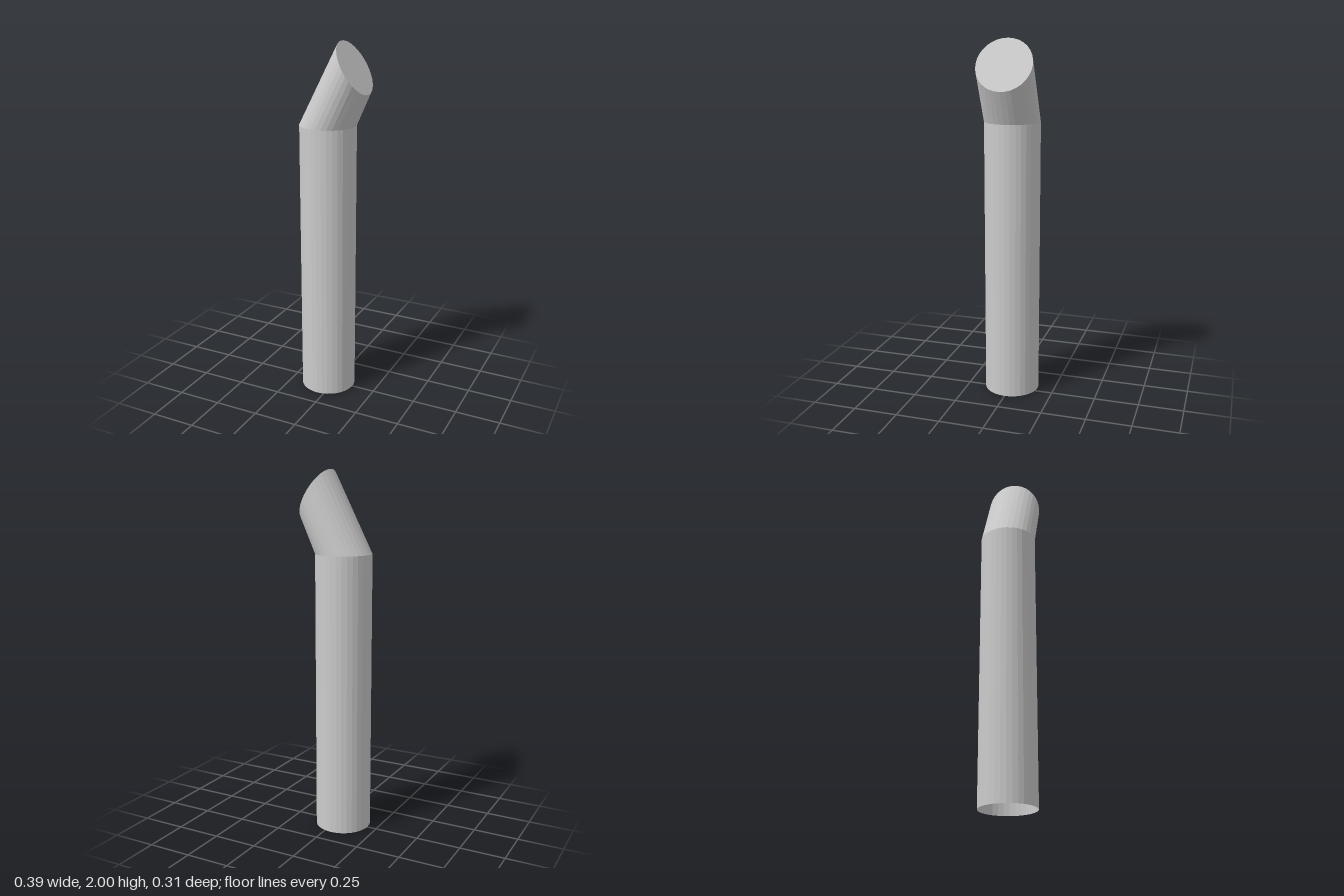
import * as THREE from 'three';

const RADIUS = 0.155, SIDES = 32;
const PIPE_X = -0.04, BEND_Y = 1.555;
const MOUTH_X = 0.115, TILT = Math.PI / 3;
const MOUTH_Y = 2 - RADIUS * Math.sin(TILT);

export function createModel() {
  const group = new THREE.Group();
  group.name = 'bentPipe';
  const material = new THREE.MeshStandardMaterial({
    color: 0xcccccc, flatShading: true, side: THREE.DoubleSide,
  });
  const add = (name, geometry) => {
    const mesh = new THREE.Mesh(geometry, material);
    mesh.name = name;
    group.add(mesh);
  };

  // Upright pipe, open at the bottom
  const pipe = new THREE.CylinderGeometry(RADIUS, RADIUS, BEND_Y, SIDES, 1, true);
  add('uprightPipe', pipe.translate(PIPE_X, BEND_Y / 2, 0));

  // Leaning outlet: level ring at the bend, tilted ring at the mouth
  const outlet = new THREE.CylinderGeometry(RADIUS, RADIUS, 1, SIDES, 1, true);
  const pos = outlet.attributes.position;
  for (let i = 0; i < pos.count; i++) {
    const x = pos.getX(i), z = pos.getZ(i);
    if (pos.getY(i) > 0) {
      pos.setXYZ(i, MOUTH_X + x * Math.cos(TILT), MOUTH_Y - x * Math.sin(TILT), z);
    } else {
      pos.setXYZ(i, PIPE_X + x, BEND_Y, z);
    }
  }
  outlet.computeVertexNormals();
  add('leaningOutlet', outlet);

  // Flat disc closing the mouth
  const cap = new THREE.CircleGeometry(RADIUS, SIDES);
  cap.rotateX(-Math.PI / 2).rotateZ(-TILT).translate(MOUTH_X, MOUTH_Y, 0);
  add('mouthCap', cap);

  return group;
}
